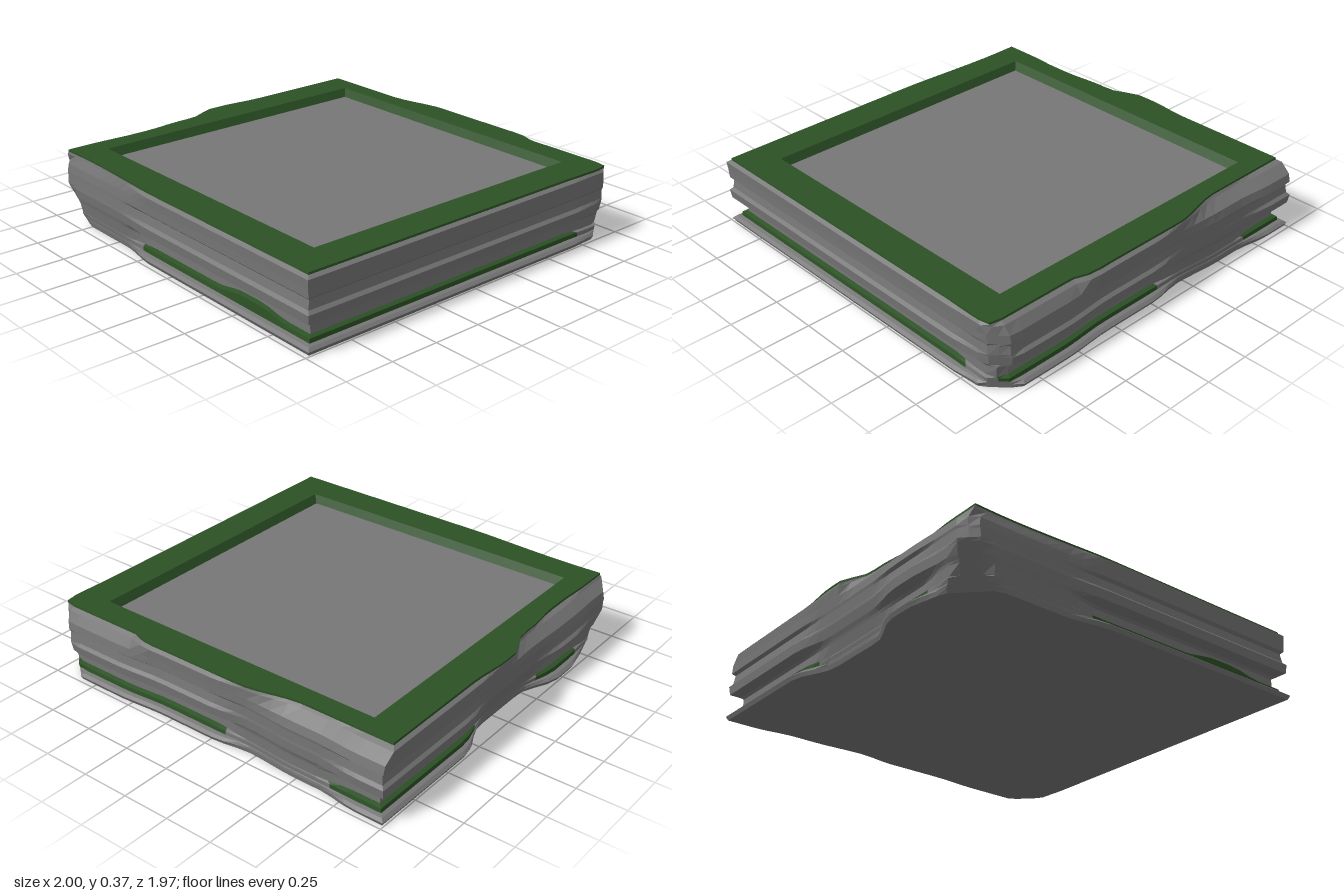
import * as THREE from 'three';

const N = 28;                                   // segments along each side
const HX = 1, HZ = 0.985;                       // half extents
const FRONT = 0, RIGHT = 1, BACK = 2, LEFT = 3; // order round the slab
const { lerp, smoothstep } = THREE.MathUtils;

// Moulded edge profile from the ground up: [height, inset from the outline]
const profile = [
  [0, 0.01], [0.02, 0], [0.032, 0.015], [0.036, 0.035], [0.056, 0.038], [0.062, 0.06],
  [0.11, 0.06], [0.122, 0.05], [0.14, 0.008], [0.185, 0.002], [0.2, 0.016], [0.245, 0.022],
  [0.258, 0.008], [0.3, 0.006], [0.345, 0.002], [0.357, 0.02], [0.367, 0.022],
];
const GREEN_LEDGE = [3, 4];                     // profile bands in green
const GREEN_EDGE = 15;

// Stretches where the moulding is worn smooth: inset at bottom, middle and top
const worn = [
  { side: FRONT, from: -1.3, to: -0.2, fade: 0.25, inset: [0.045, 0.015, 0.025], amount: 0.95 },
  { side: RIGHT, from: -1.3, to: -0.72, fade: 0.12, inset: [0.03, 0.03, 0.01], amount: 0.45 },
  { side: BACK, from: -0.85, to: 0, fade: 0.22, inset: [0.04, 0.03, 0.02], amount: 0.85 },
  { side: LEFT, from: -0.35, to: 0.5, fade: 0.25, inset: [0.1, 0.035, 0], amount: 0.9 },
  { side: LEFT, from: 0.62, to: 1.3, fade: 0.2, inset: [0.05, 0.025, 0.01], amount: 0.8 },
];
// Stretches where the upper rim has crumbled back
const crumbled = [
  { side: LEFT, from: -0.02, to: 1.4, fade: 0.2, inset: 0.065 },
  { side: BACK, from: -1.4, to: -0.18, fade: 0.33, inset: 0.075 },
  { side: BACK, from: 0.38, to: 1.4, fade: 0.15, inset: 0.045 },
  { side: FRONT, from: -1.4, to: -0.2, fade: 0.6, inset: 0.018 },
];

const weight = (w, c) =>
  smoothstep(c, w.from, w.from + w.fade) * (1 - smoothstep(c, w.to - w.fade, w.to));

// World coordinate along a side for t running anticlockwise
const along = (side, t) => (side === FRONT || side === LEFT ? t : -t);

function wornAmount(side, t) {
  return worn.filter(w => w.side === side)
    .reduce((m, w) => Math.max(m, w.amount * weight(w, along(side, t))), 0);
}

function insetAt(side, t, y, base) {
  const c = along(side, t);
  let d = base;
  for (const w of worn) {
    if (w.side !== side) continue;
    const [low, mid, high] = w.inset;
    const target = y < 0.18 ? lerp(low, mid, y / 0.18) : lerp(mid, high, (y - 0.18) / 0.19);
    d = lerp(d, target, w.amount * weight(w, c));
  }
  for (const w of crumbled) {
    if (w.side === side) d += w.inset * smoothstep(y, 0.28, 0.36) * weight(w, c);
  }
  // the back is a little shallower in its middle
  if (side === BACK) d += 0.018 * weight({ from: -0.5, to: 0.6, fade: 0.3 }, c);
  return d;
}

// Place a point on a side given its insets at both ends and at itself
function place(side, t, y, inset, start, end) {
  const h = side % 2 ? HZ : HX, depth = side % 2 ? HX : HZ;
  const a = lerp(-h + start, h - end, (t + 1) / 2), n = depth - inset;
  return [[a, y, n], [n, y, -a], [-a, y, -n], [-n, y, a]][side];
}

// One closed ring round the slab
function edgeRing([y, base]) {
  // broken corners are cut deeper towards the ground
  const rise = Math.min(1, y / 0.2);
  const frontLeftLimit = lerp(1.73, 1.88, rise), backRightLimit = lerp(1.83, 1.88, rise);
  return Array.from({ length: 4 * N }, (_, i) => {
    const side = Math.floor(i / N), t = (i % N) / N * 2 - 1;
    const p = place(side, t, y, insetAt(side, t, y, base),
      insetAt((side + 3) % 4, 1, y, base), insetAt((side + 1) % 4, -1, y, base));
    // chip in the lower moulding at the front
    if (side === FRONT && y > 0.05 && y < 0.07)
      p[1] += 0.026 * weight({ from: 0.32, to: 0.85, fade: 0.2 }, t);
    const frontLeft = Math.max(0, p[2] - p[0] - frontLeftLimit) / 2;
    const backRight = Math.max(0, p[0] - p[2] - backRightLimit) / 2;
    p[0] += frontLeft - backRight;
    p[2] += backRight - frontLeft;
    return p;
  });
}

// Plain rectangular ring, or a single point when the size is zero
function flatRing(y, hx, hz) {
  return Array.from({ length: 4 * N }, (_, i) => {
    const side = Math.floor(i / N), t = (i % N) / N * 2 - 1;
    return [[t * hx, y, hz], [hx, y, -t * hz], [-t * hx, y, -hz], [-hx, y, t * hz]][side];
  });
}

// Add the quads between two rings, optionally only where keep(i) holds
function band(out, lower, upper, keep = () => true) {
  for (let i = 0; i < 4 * N; i++) {
    if (!keep(i)) continue;
    const j = (i + 1) % (4 * N);
    out.push(...lower[i], ...lower[j], ...upper[j], ...lower[i], ...upper[j], ...upper[i]);
  }
}

function makeMesh(name, positions, color) {
  const geometry = new THREE.BufferGeometry();
  geometry.setAttribute('position', new THREE.Float32BufferAttribute(positions, 3));
  geometry.computeVertexNormals();
  const mesh = new THREE.Mesh(geometry, new THREE.MeshStandardMaterial({ color, flatShading: true }));
  mesh.name = name;
  return mesh;
}

export function createModel() {
  const group = new THREE.Group();
  group.name = 'stoneSlab';
  const stone = [], ledge = [], rim = [], panel = [];
  const rings = profile.map(edgeRing);

  // Underside and moulded sides, with the green ledge showing where unworn
  band(stone, flatRing(0, 0, 0), rings[0]);
  const isWorn = i => wornAmount(Math.floor(i / N), ((i % N) + 0.5) / N * 2 - 1) > 0.4;
  for (let k = 0; k < rings.length - 1; k++) {
    if (GREEN_LEDGE.includes(k)) {
      band(ledge, rings[k], rings[k + 1], i => !isWorn(i));
      band(stone, rings[k], rings[k + 1], isWorn);
    } else {
      band(k === GREEN_EDGE ? rim : stone, rings[k], rings[k + 1]);
    }
  }

  // Green top frame, its inner bevel and the sunken panel
  const lip = flatRing(0.367, 0.805, 0.79), floor = flatRing(0.325, 0.78, 0.768);
  band(rim, rings[rings.length - 1], lip);
  band(rim, lip, floor);
  band(panel, floor, flatRing(0.325, 0, 0));

  const grey = 0x777777, green = 0x2c5125;
  group.add(
    makeMesh('stoneBody', stone, grey),
    makeMesh('lowerLedge', ledge, green),
    makeMesh('topFrame', rim, green),
    makeMesh('sunkenPanel', panel, grey),
  );
  return group;
}
